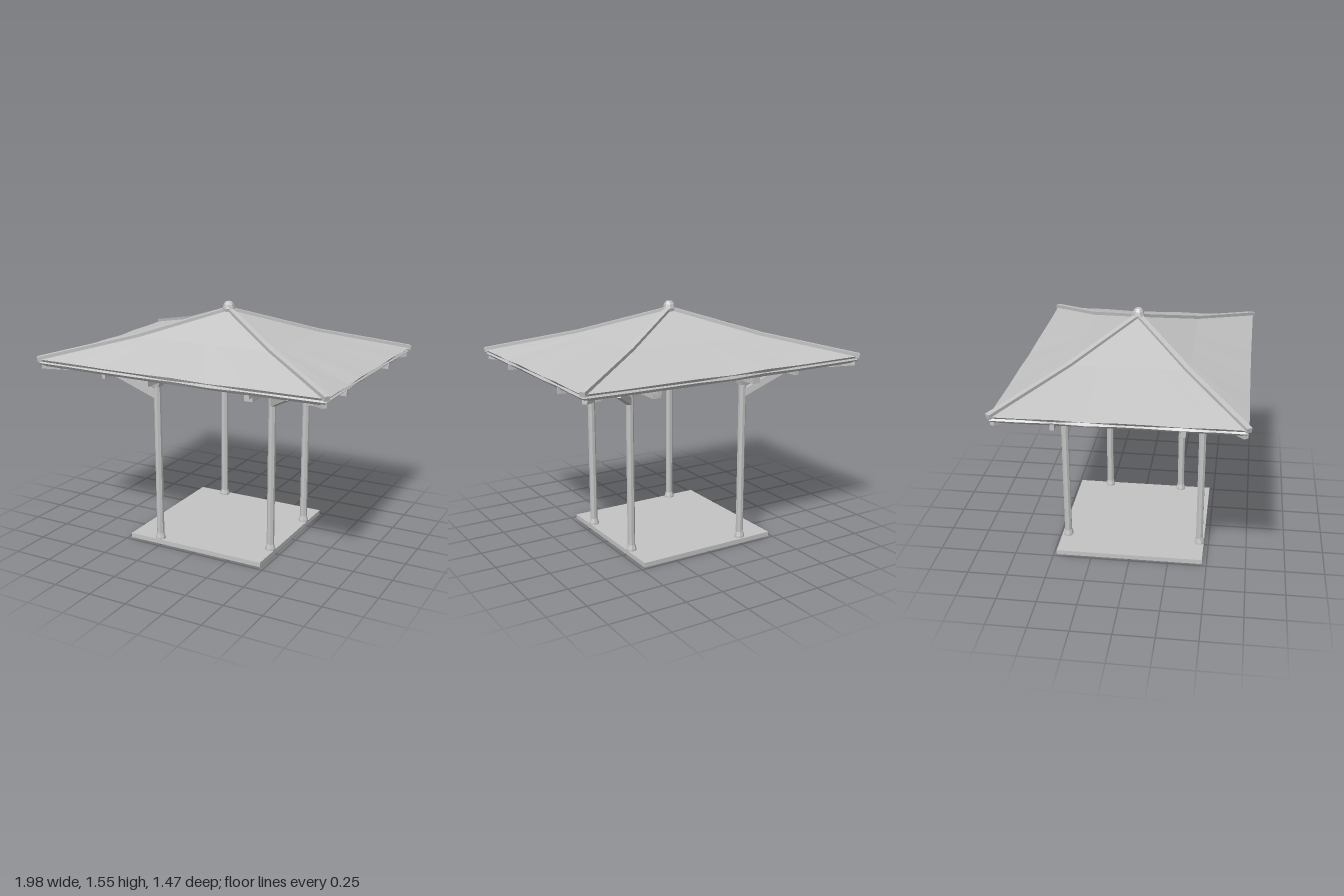
import * as THREE from 'three';

const stone = new THREE.MeshStandardMaterial({ color: 0xc4c4c4, flatShading: true });
stone.name = 'plain grey';

function part(group, name, geometry, x = 0, y = 0, z = 0) {
  const m = new THREE.Mesh(geometry, stone);
  m.name = name;
  m.position.set(x, y, z);
  group.add(m);
  return m;
}

// Rectangular bar from point a to point b, w wide and h high
function bar(group, name, a, b, w, h) {
  const p = new THREE.Vector3(...a), q = new THREE.Vector3(...b);
  const m = part(group, name, new THREE.BoxGeometry(w, h, p.distanceTo(q)));
  m.position.copy(p).add(q).multiplyScalar(0.5);
  m.lookAt(q);
  return m;
}

// Four-sided concave roof shell: a closed profile carried round a rectangle
function roofGeometry() {
  const HX = 0.98, HZ = 0.72, N = 8;
  const profile = [ // scale, height, edge ripple
    [0, 1.5, 0], [0.49, 1.338, 0], [1, 1.21, 1], [0.985, 1.196, -1],
    [0.995, 1.186, 1], [0.975, 1.168, 0], [0.49, 1.302, 0], [0, 1.465, 0],
  ];
  const corners = [[1, 1], [1, -1], [-1, -1], [-1, 1]];
  const rings = profile.map(([s, y, ripple]) => {
    const ring = [];
    corners.forEach(([cx, cz], k) => {
      const [dx, dz] = corners[(k + 1) % 4];
      for (let i = 0; i < N; i++) {
        const t = i / N, sag = Math.sin(Math.PI * t);
        const wave = ripple * 0.004 * Math.sin(i * 2.4 + k * 1.7) * sag;
        const edge = s > 0.9 ? 1 : 0;
        const pull = edge * sag * (k % 2 ? 0.004 : 0.015);
        const x = (cx + (dx - cx) * t) * (HX * s - (k % 2 ? 0 : pull));
        const z = (cz + (dz - cz) * t) * (HZ * s - (k % 2 ? pull : 0));
        ring.push([x, y + wave - edge * sag * 0.006, z]);
      }
    });
    return ring;
  });
  const pos = [];
  for (let r = 0; r < rings.length - 1; r++) {
    for (let j = 0; j < 4 * N; j++) {
      const n = (j + 1) % (4 * N);
      const a = rings[r][j], b = rings[r + 1][j], c = rings[r + 1][n], d = rings[r][n];
      if (r < rings.length - 2) pos.push(...a, ...b, ...c);
      if (r > 0) pos.push(...a, ...c, ...d);
    }
  }
  const g = new THREE.BufferGeometry();
  g.setAttribute('position', new THREE.Float32BufferAttribute(pos, 3));
  g.computeVertexNormals();
  return g;
}

export function createModel() {
  const model = new THREE.Group();
  model.name = 'pavilion';

  // Floor slab
  part(model, 'floorSlab', new THREE.BoxGeometry(0.95, 0.03, 0.95), -0.005, 0.015, -0.005);

  // Posts on a trapezoid plan, with flared feet, capitals and diagonal braces
  for (const [x, z, bx] of [[-0.27, 0.44, -0.5], [0.44, 0.26, 0.66]]) {
    for (const s of [1, -1]) {
      const post = new THREE.Group();
      post.name = 'post';
      model.add(post);
      const shaft = new THREE.CylinderGeometry(0.024, 0.024, 1.05, 8).rotateY(Math.PI / 8);
      part(post, 'postShaft', shaft, x, 0.555, z * s);
      const foot = new THREE.LatheGeometry([
        [0, 0.03], [0.033, 0.03], [0.033, 0.04], [0.025, 0.068], [0, 0.068],
      ].map(p => new THREE.Vector2(...p)), 8).rotateY(Math.PI / 8);
      part(post, 'postFoot', foot, x, 0, z * s);
      const cap = new THREE.CylinderGeometry(0.05, 0.036, 0.05, 4).rotateY(Math.PI / 4);
      part(post, 'capital', cap, x, 1.085, z * s);
      bar(post, 'brace', [x, 1.0, z * s], [bx, 1.135, 0.53 * s], 0.03, 0.045);
    }
    // Cross beam resting on the pair of posts
    part(model, 'crossBeam', new THREE.BoxGeometry(0.055, 0.055, 1.17), x, 1.118, 0);
  }

  // Eaves framing: long beams, outer ring, rafter ends
  for (const s of [1, -1]) {
    part(model, 'longBeam', new THREE.BoxGeometry(1.44, 0.045, 0.05), 0, 1.145, 0.52 * s);
    part(model, 'frontRingBeam', new THREE.BoxGeometry(1.76, 0.025, 0.035), 0, 1.16, 0.62 * s);
    part(model, 'sideRingBeam', new THREE.BoxGeometry(0.035, 0.025, 1.34), 0.86 * s, 1.16, 0);
    for (const t of [1, -1]) {
      part(model, 'frontRafterEnd', new THREE.BoxGeometry(0.025, 0.035, 0.13), 0.49 * t, 1.157, 0.635 * s);
      part(model, 'sideRafterEnd', new THREE.BoxGeometry(0.13, 0.035, 0.025), 0.895 * s, 1.157, 0.365 * t);
      bar(model, 'cornerRafterEnd', [0.82 * s, 1.147, 0.6 * t], [0.96 * s, 1.164, 0.705 * t], 0.03, 0.022);
    }
  }

  // Roof shell and the ridges along its four hips
  part(model, 'roof', roofGeometry());
  for (const s of [1, -1]) {
    for (const t of [1, -1]) {
      const kink = [0.48 * s, 1.338, 0.353 * t];
      bar(model, 'hipRidge', [0.98 * s, 1.212, 0.72 * t], kink, 0.034, 0.03);
      bar(model, 'hipRidge', kink, [0, 1.498, 0], 0.034, 0.03);
    }
  }

  // Ribbed finial at the peak
  const finial = new THREE.LatheGeometry([
    [0, 1.48], [0.034, 1.48], [0.04, 1.505], [0.033, 1.53], [0.02, 1.548], [0, 1.55],
  ].map(p => new THREE.Vector2(...p)), 8).rotateY(Math.PI / 8);
  part(model, 'finial', finial);
  for (let i = 0; i < 8; i++) {
    const a = (i + 0.5) * Math.PI / 4;
    bar(model, 'finialRib', [Math.cos(a) * 0.038, 1.503, Math.sin(a) * 0.038],
      [Math.cos(a) * 0.018, 1.545, Math.sin(a) * 0.018], 0.007, 0.007);
  }
  return model;
}
